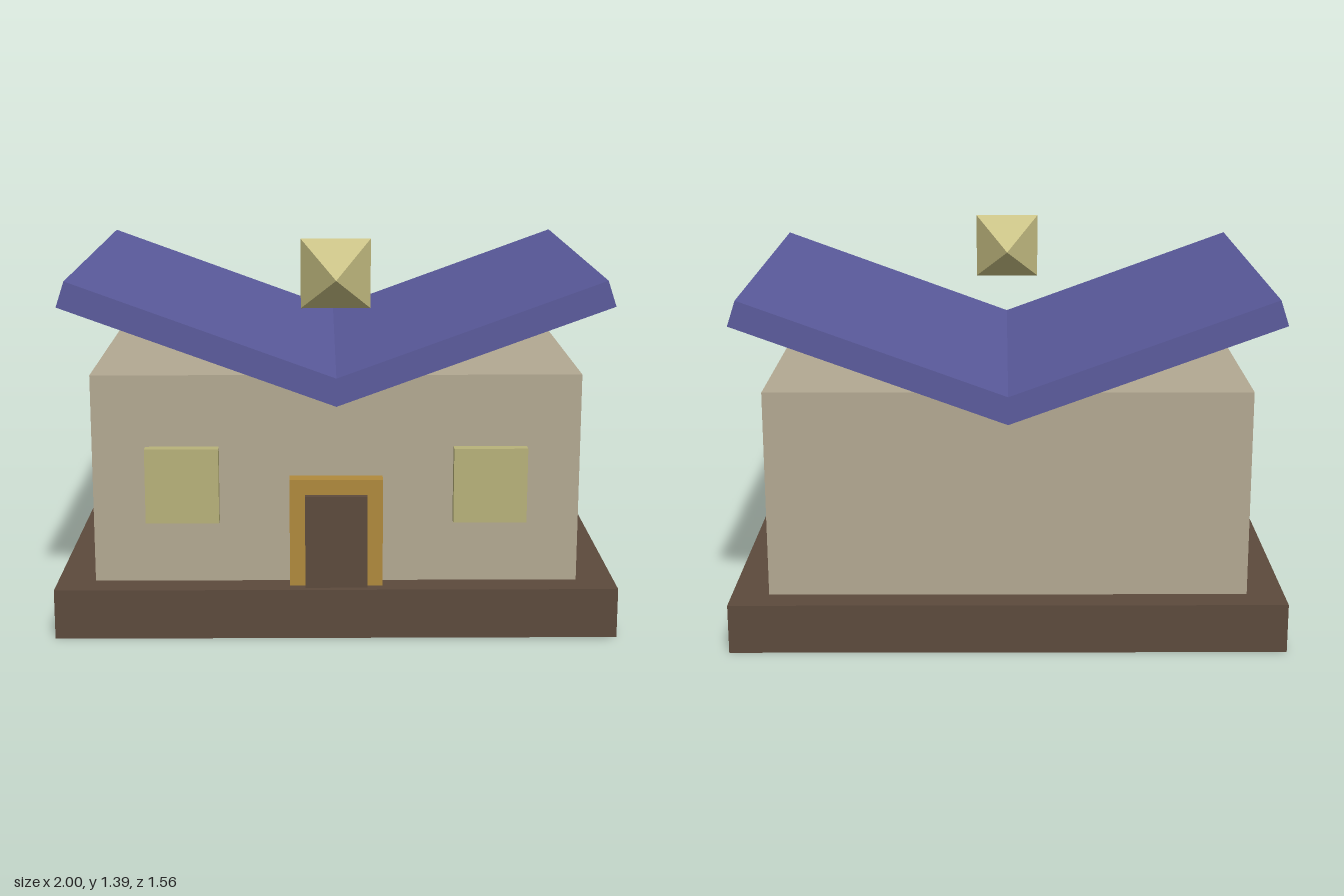
import * as THREE from 'three';

const material = (color) => new THREE.MeshStandardMaterial({ color, flatShading: true });
const WOOD = material(0x5c4a3c);
const WALL = material(0xb3a992);
const ROOF = material(0x5a5a9c);
const FRAME = material(0xb08a3c);
const GLASS = material(0xb8b27a);
const CRYSTAL = material(0xc8c084);

export function createModel() {
  const house = new THREE.Group();
  house.name = 'house';

  const add = (name, geometry, mat) => {
    const mesh = new THREE.Mesh(geometry, mat);
    mesh.name = name;
    house.add(mesh);
    return mesh;
  };

  // Box given by its lower and upper limits on each axis
  const box = (name, mat, [x0, x1], [y0, y1], [z0, z1]) =>
    add(name, new THREE.BoxGeometry(x1 - x0, y1 - y0, z1 - z0), mat)
      .position.set((x0 + x1) / 2, (y0 + y1) / 2, (z0 + z1) / 2);

  // Plinth and walls
  box('plinth', WOOD, [-1, 1], [0, 0.18], [-0.778, 0.778]);
  box('walls', WALL, [-0.865, 0.865], [0.18, 0.935], [-0.67, 0.67]);

  // Door with its surround
  box('doorFrame', FRAME, [-0.165, 0.165], [0.18, 0.57], [0.67, 0.73]);
  box('door', WOOD, [-0.11, 0.11], [0.18, 0.515], [0.69, 0.755]);

  // Windows, hung just clear of the wall
  box('leftWindow', GLASS, [0.415, 0.675], [0.41, 0.68], [0.682, 0.722]);
  box('rightWindow', GLASS, [-0.675, -0.415], [0.41, 0.68], [0.682, 0.722]);

  // V-shaped butterfly roof
  const profile = new THREE.Shape([
    [0, 0.84], [0.96, 1.19], [0.93, 1.28], [0, 0.94], [-0.93, 1.28], [-0.96, 1.19],
  ].map(([x, y]) => new THREE.Vector2(x, y)));
  const roof = new THREE.ExtrudeGeometry(profile, { depth: 1.514, bevelEnabled: false });
  add('roof', roof.translate(0, 0, -0.757), ROOF);

  // Floating crystal: two pyramids sharing an upright square, points to front and back
  const crystal = new THREE.OctahedronGeometry(1).rotateZ(Math.PI / 4).scale(0.177, 0.177, 0.18);
  add('crystal', crystal, CRYSTAL).position.set(0, 1.267, 0.487);

  return house;
}
